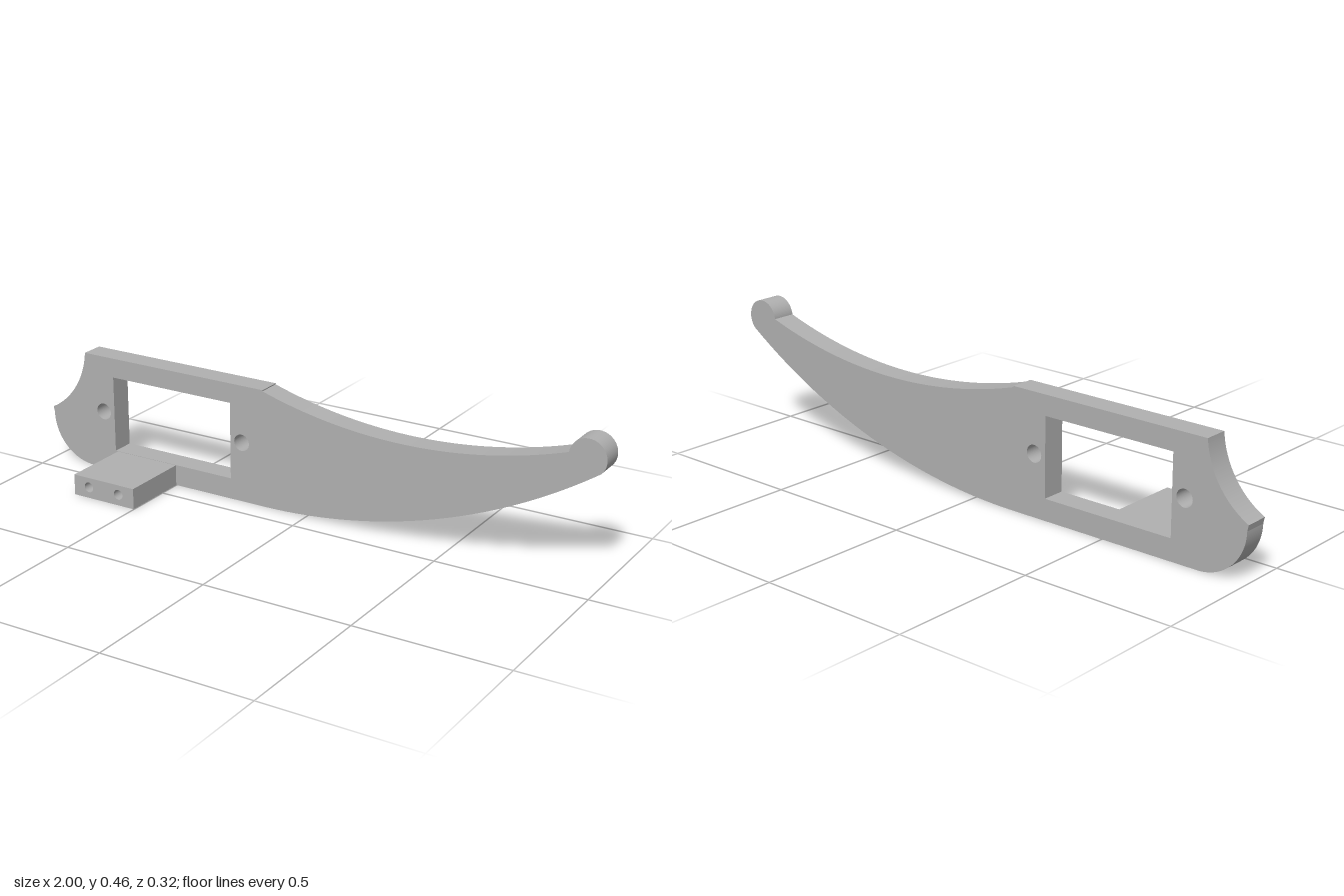
import * as THREE from 'three';

const circle = (x, y, r) => new THREE.Path().absarc(x, y, r, 0, Math.PI * 2, true);

// Arc around (cx, cy) between two points, appended to a shape
function arcBetween(shape, cx, cy, from, to, clockwise) {
  const r = Math.hypot(from[0] - cx, from[1] - cy);
  const angle = (p) => Math.atan2(p[1] - cy, p[0] - cx);
  shape.absarc(cx, cy, r, angle(from), angle(to), clockwise);
}

function rectangle(Type, x0, y0, x1, y1) {
  return new Type().moveTo(x0, y0).lineTo(x1, y0).lineTo(x1, y1).lineTo(x0, y1).closePath();
}

function extrude(shape, z0, z1) {
  const geometry = new THREE.ExtrudeGeometry(shape, { depth: z1 - z0, bevelEnabled: false, curveSegments: 28 });
  return geometry.translate(0, 0, z0);
}

export function createModel() {
  const group = new THREE.Group();
  const grey = new THREE.MeshStandardMaterial({ color: 0xb0b0b0 });
  grey.name = 'grey';

  const add = (name, geometry) => {
    const mesh = new THREE.Mesh(geometry, grey);
    mesh.name = name;
    group.add(mesh);
  };

  // Arm plate outline, counter-clockwise from the bottom left
  const arm = new THREE.Shape();
  arm.moveTo(-0.84, 0).lineTo(-0.16, 0);
  arcBetween(arm, -0.16, 2.0, [-0.16, 0], [0.98, 0.355], false); // curved underside
  arcBetween(arm, 0.94, 0.4, [0.982, 0.358], [0.882, 0.402], false); // round tip
  arcBetween(arm, 0.34, 2.018, [0.886, 0.408], [-0.16, 0.395], true); // hollow top
  arm.lineTo(-0.16, 0.397).lineTo(-0.86, 0.397);
  arcBetween(arm, -1.13, 0.42, [-0.86, 0.397], [-1, 0.172], true); // concave rear
  arcBetween(arm, -0.84, 0.16, [-1, 0.16], [-0.84, 0], false); // rounded heel

  // Window and screw holes
  arm.holes.push(
    rectangle(THREE.Path, -0.746, 0.071, -0.284, 0.331),
    circle(-0.789, 0.203, 0.028),
    circle(-0.241, 0.203, 0.028)
  );
  add('armPlate', extrude(arm, -0.158, -0.08));

  // Mounting block with two blind holes in its end
  const [x0, x1, top] = [-0.737, -0.501, 0.07];
  const end = rectangle(THREE.Shape, x0, 0, x1, top);
  for (const x of [-0.679, -0.561]) end.holes.push(circle(x, 0.037, 0.017));
  add('mountBlockEnd', extrude(end, 0.02, 0.158));
  add('mountBlockBase', extrude(rectangle(THREE.Shape, x0, 0, x1, top), -0.08, 0.02));

  return group;
}
